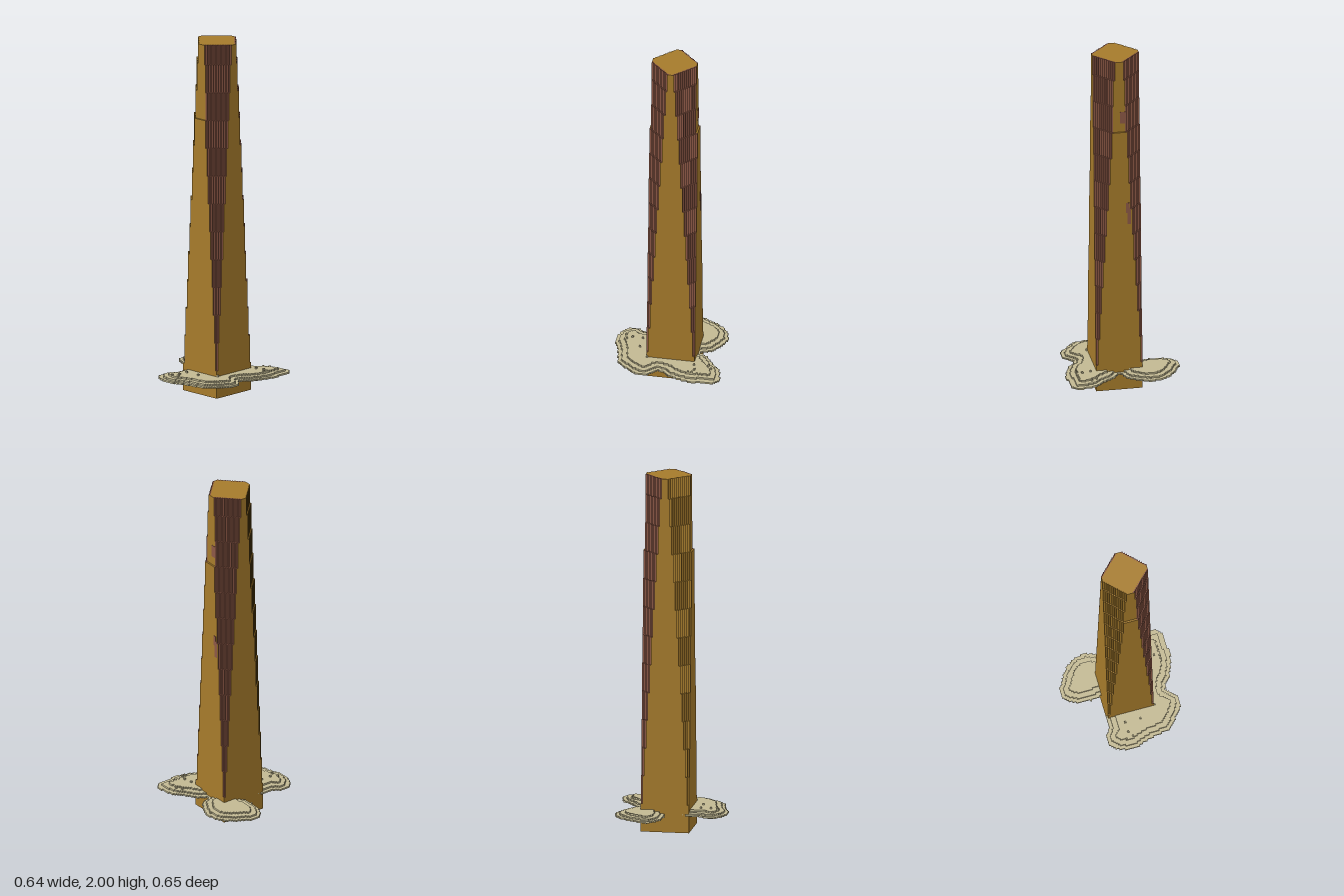
import * as THREE from 'three';

const S = 0.00965;                 // voxel size
const X0 = -0.115, Z0 = -0.11;     // tower corner
const NX = 28, NZ = 27;            // tower cells
const STEP = 0.1573;               // rise of each corner terrace

const ochre = new THREE.MeshStandardMaterial({ color: 0xa67b2b });
ochre.name = 'ochre';
const brown = new THREE.MeshStandardMaterial({ color: 0x8c5846 });
brown.name = 'brown';
const tan = new THREE.MeshStandardMaterial({ color: 0xc2b993 });
tan.name = 'tan';

// Turns a field of columns, cell(i, j) -> [bottom, top] or null, into block faces.
// paint(i, j, neighbour, dir) picks the material of a face.
function blockField(name, [i0, i1, j0, j1], cell, paint) {
  const lists = new Map();
  const quad = (mat, a, b, c, d) => {
    if (!lists.has(mat)) lists.set(mat, []);
    lists.get(mat).push(...a, ...b, ...c, ...a, ...c, ...d);
  };
  for (let i = i0; i < i1; i++) for (let j = j0; j < j1; j++) {
    const col = cell(i, j);
    if (!col) continue;
    const [b, t] = col;
    const x = X0 + i * S, z = Z0 + j * S, x1 = x + S, z1 = z + S;
    quad(paint(i, j, null, 'top'), [x, t, z1], [x1, t, z1], [x1, t, z], [x, t, z]);
    quad(paint(i, j, null, 'bottom'), [x, b, z], [x1, b, z], [x1, b, z1], [x, b, z1]);
    for (const [dx, dz] of [[1, 0], [-1, 0], [0, 1], [0, -1]]) {
      const n = cell(i + dx, j + dz);
      const mat = paint(i, j, n && [i + dx, j + dz], 'side');
      const px = x + S / 2 + dx * S / 2, pz = z + S / 2 + dz * S / 2;
      const tx = dz * S / 2, tz = -dx * S / 2;
      const wall = (lo, hi) => {
        if (hi - lo > 1e-5) {
          quad(mat, [px - tx, lo, pz - tz], [px + tx, lo, pz + tz],
            [px + tx, hi, pz + tz], [px - tx, hi, pz - tz]);
        }
      };
      if (!n) wall(b, t);
      else {
        wall(Math.max(b, n[1]), t);
        wall(b, Math.min(t, n[0]));
      }
    }
  }
  const group = new THREE.Group();
  group.name = name;
  for (const [mat, list] of lists) {
    const geo = new THREE.BufferGeometry();
    geo.setAttribute('position', new THREE.Float32BufferAttribute(list, 3));
    geo.computeVertexNormals();
    const mesh = new THREE.Mesh(geo, mat);
    mesh.name = `${name} ${mat.name}`;
    group.add(mesh);
  }
  return group;
}

// Tower: square foot, diamond top, four terraced corner facets
const diagonal = (i, j) => Math.min(i, NX - 1 - i) + Math.min(j, NZ - 1 - j);
const outerX = (i) => i === 0 || i === NX - 1;
function towerCell(i, j) {
  if (i < 0 || j < 0 || i >= NX || j >= NZ) return null;
  const top = Math.min(2, STEP * (diagonal(i, j) + 1));
  return [0, outerX(i) ? Math.min(top, STEP * 10) : top];
}
function towerPaint(i, j, neighbour, dir) {
  if (dir === 'bottom' || (i < NX / 2 && j < NZ / 2)) return ochre;
  if (dir === 'top') {
    return diagonal(i, j) > 12 || (outerX(i) && diagonal(i, j) >= 10) ? ochre : brown;
  }
  if (!neighbour) return ochre;
  return outerX(neighbour[0]) && diagonal(...neighbour) >= 10 ? ochre : brown;
}

// Cloud outlines in x, z
const clouds = {
  frontCloud: [[-0.1, -0.12], [-0.17, -0.12], [-0.21, -0.15], [-0.26, -0.15], [-0.3, -0.11],
    [-0.32, -0.05], [-0.32, 0], [-0.29, 0.07], [-0.275, 0.15], [-0.265, 0.2], [-0.22, 0.24],
    [-0.17, 0.28], [-0.13, 0.3], [-0.08, 0.29], [-0.035, 0.24], [0, 0.25], [0.03, 0.28],
    [0.09, 0.305], [0.15, 0.32], [0.19, 0.32], [0.2, 0.31], [0.29, 0.31], [0.315, 0.29],
    [0.315, 0.25], [0.3, 0.18], [0.25, 0.12], [0.21, 0.06], [0.165, 0.03], [0.05, -0.02]],
  backCloud: [[0.015, -0.17], [0.02, -0.25], [0.05, -0.3], [0.075, -0.325], [0.125, -0.325],
    [0.16, -0.3], [0.2, -0.28], [0.25, -0.24], [0.28, -0.19], [0.29, -0.13], [0.27, -0.08],
    [0.23, -0.01], [0.18, 0.01], [0.155, 0.025], [0.08, 0], [0.03, -0.08], [0.025, -0.12]],
};
// Single raised cells on the clouds
const tufts = [[-0.26, -0.05], [-0.255, -0.01], [-0.225, -0.03], [-0.165, -0.03], [-0.17, 0.06],
  [-0.115, 0.155], [0.16, 0.18], [0.235, 0.165], [0.26, 0.19], [0.14, 0.265], [0.16, 0.265],
  [0.2, 0.265], [0.22, 0.265], [0.25, 0.265], [0.17, 0.235]];
const key = (i, j) => `${i},${j}`;
const tuftKeys = new Set(tufts.map(([x, z]) =>
  key(Math.floor((x - X0) / S), Math.floor((z - Z0) / S))));

// Distance to the outline, negative outside
function inset(poly, x, z) {
  let inside = false, best = Infinity;
  poly.forEach(([ax, az], k) => {
    const [bx, bz] = poly[(k + 1) % poly.length];
    if ((az > z) !== (bz > z) && x < ax + (bx - ax) * (z - az) / (bz - az)) inside = !inside;
    const ex = bx - ax, ez = bz - az;
    const t = Math.min(1, Math.max(0, ((x - ax) * ex + (z - az) * ez) / (ex * ex + ez * ez)));
    best = Math.min(best, Math.hypot(x - ax - ex * t, z - az - ez * t));
  });
  return inside ? best : -best;
}

function makeCloud(name, poly) {
  const cache = new Map();
  const cell = (i, j) => {
    const id = key(i, j);
    if (!cache.has(id)) {
      const d = inset(poly, X0 + (i + 0.5) * S, Z0 + (j + 0.5) * S);
      const up = (d > 0.022) + (d > 0.052) + (tuftKeys.has(id) ? 1 : 0);
      const down = (d > 0.035) + (d > 0.09);
      cache.set(id, d < 0 ? null : [(10 - down) * S, (11 + up) * S]);
    }
    return cache.get(id);
  };
  return blockField(name, [-24, 48, -24, 48], cell, () => tan);
}

export function createModel() {
  const model = new THREE.Group();
  model.name = 'tower';
  model.add(blockField('shaft', [0, NX, 0, NZ], towerCell, towerPaint));
  for (const [name, poly] of Object.entries(clouds)) model.add(makeCloud(name, poly));

  // Small worn patches on the right face
  const face = X0 + NX * S;
  for (const [x, y, z, h, w] of [[face - S, 1.66, 0.0, 0.07, 0.03], [face, 1.06, -0.035, 0.1, 0.02],
    [face, 1.11, -0.025, 0.06, 0.02]]) {
    const patch = new THREE.Mesh(new THREE.BoxGeometry(0.004, h, w), brown);
    patch.name = 'wornPatch';
    patch.position.set(x, y, z);
    model.add(patch);
  }
  return model;
}
